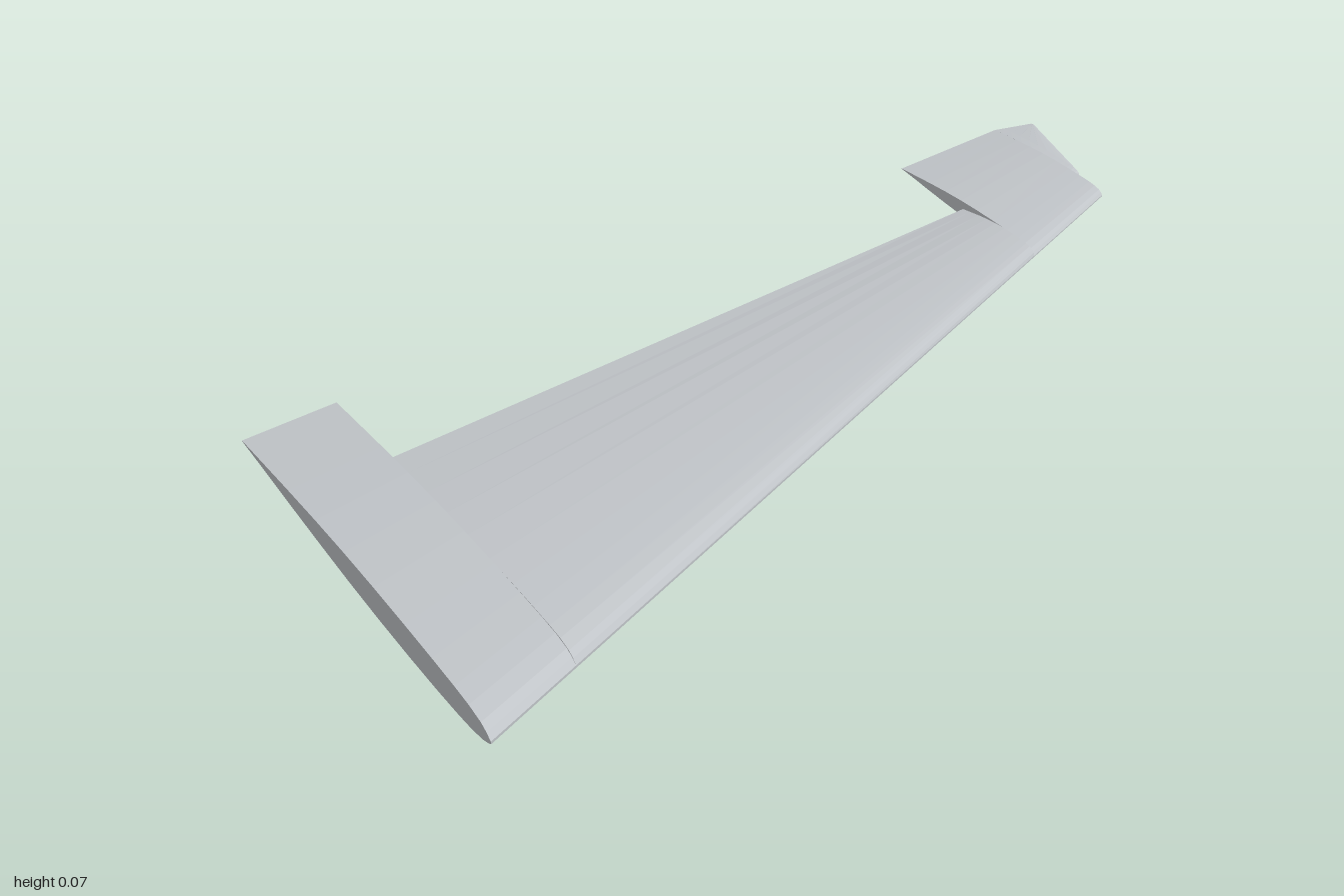
import * as THREE from 'three';

// Airfoil: chord fraction from the leading edge, upper and lower height (1 = half thickness)
const FOIL = [
  [0.000, 0.08, -0.08], [0.012, 0.38, -0.26], [0.03, 0.62, -0.46], [0.07, 0.82, -0.68],
  [0.12, 0.91, -0.82], [0.20, 0.97, -0.94], [0.30, 1.00, -1.00], [0.42, 0.99, -0.99],
  [0.54, 0.91, -0.89], [0.66, 0.75, -0.70], [0.78, 0.52, -0.47], [0.90, 0.25, -0.20],
  [1.000, 0.02, -0.02],
];

// Lofts closed airfoils through stations {x, front, back, y, half}
function loft(name, stations, material) {
  const rings = stations.map(({ x, front, back, y, half }) => {
    const at = (f, h) => [x, y + h * half, front + (back - front) * f];
    return [
      ...FOIL.map(([f, up]) => at(f, up)),
      ...FOIL.map(([f, , low]) => at(f, low)).reverse(),
    ];
  });
  const n = rings[0].length;
  const pos = [];
  const tri = (a, b, c) => pos.push(...a, ...b, ...c);
  for (let s = 0; s < rings.length - 1; s++) {
    const a = rings[s], b = rings[s + 1];
    for (let i = 0; i < n; i++) {
      const j = (i + 1) % n;
      tri(a[i], b[i], b[j]);
      tri(a[i], b[j], a[j]);
    }
  }
  // Flat ends, joined straight across the thickness
  const first = rings[0], last = rings[rings.length - 1];
  for (let i = 0; i < n / 2 - 1; i++) {
    const k = n - 1 - i;
    tri(first[i], first[i + 1], first[k - 1]);
    tri(first[i], first[k - 1], first[k]);
    tri(last[i], last[k - 1], last[i + 1]);
    tri(last[i], last[k], last[k - 1]);
  }
  const geometry = new THREE.BufferGeometry();
  geometry.setAttribute('position', new THREE.Float32BufferAttribute(pos, 3));
  geometry.computeVertexNormals();
  const mesh = new THREE.Mesh(geometry, material);
  mesh.name = name;
  return mesh;
}

// Swept leading edge, middle height and half thickness along the span
const station = (x, back) => {
  const t = (x + 1) / 1.91;
  return {
    x, back,
    front: 0.53 - 0.695 * t,
    y: 0.038 + 0.018 * t,
    half: 0.0355 - 0.0185 * t,
  };
};

export function createModel() {
  const wing = new THREE.Group();
  wing.name = 'wing';
  const grey = new THREE.MeshStandardMaterial({ color: 0xc0c4c8 });
  grey.name = 'light grey';

  // Long-chord inner section
  wing.add(loft('rootSection', [station(-1, -0.445), station(-0.803, -0.452)], grey));
  // Narrower panel between the two extended sections
  wing.add(loft('mainPanel', [station(-0.803, -0.23), station(0.625, -0.302)], grey));
  // Long-chord outer section
  wing.add(loft('outerSection', [station(0.625, -0.523), station(0.91, -0.537)], grey));
  // Thin raked tip, set back from the leading edge
  wing.add(loft('wingTip', [
    { x: 0.91, front: -0.255, back: -0.537, y: 0.056, half: 0.0135 },
    { x: 0.932, front: -0.266, back: -0.531, y: 0.056, half: 0.011 },
    { x: 1.0, front: -0.5, back: -0.512, y: 0.056, half: 0.001 },
  ], grey));

  return wing;
}
